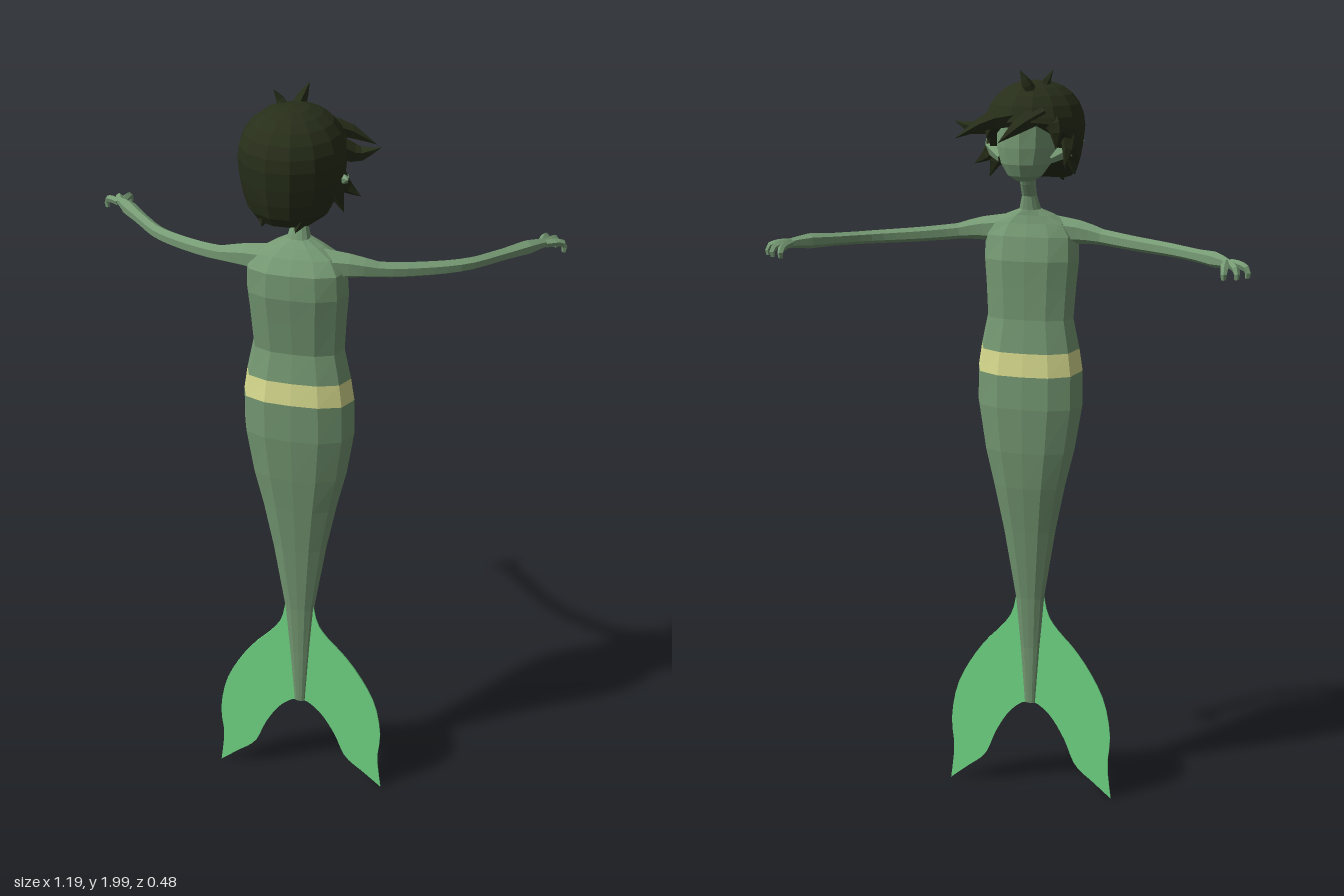
import * as THREE from 'three';

const V = (x, y, z) => new THREE.Vector3(x, y, z);
const skin = new THREE.MeshStandardMaterial({ color: 0x769a74 });
skin.name = 'skinGreen';
const beltMat = new THREE.MeshStandardMaterial({ color: 0xd8dc8e });
beltMat.name = 'beltYellow';
const finMat = new THREE.MeshStandardMaterial({ color: 0x76e28c });
finMat.name = 'finGreen';
const hairMat = new THREE.MeshStandardMaterial({ color: 0x272e19, side: THREE.DoubleSide });
hairMat.name = 'hairDark';

// Faceted mesh: every face gets its own normal
function faceted(name, geo, mat) {
  const g = geo.index ? geo.toNonIndexed() : geo;
  g.computeVertexNormals();
  const m = new THREE.Mesh(g, mat);
  m.name = name;
  return m;
}

// Skin over rings of points, lowest ring first, closed at both ends
function loft(rings) {
  const n = rings[0].length, pos = [], idx = [];
  rings.forEach(r => r.forEach(p => pos.push(p.x, p.y, p.z)));
  for (let i = 0; i < rings.length - 1; i++) {
    for (let j = 0; j < n; j++) {
      const k = (j + 1) % n, a = i * n + j, b = i * n + k;
      idx.push(a, b, b + n, a, b + n, a + n);
    }
  }
  const top = (rings.length - 1) * n;
  for (let j = 1; j < n - 1; j++) idx.push(0, j + 1, j, top, top + j, top + j + 1);
  const g = new THREE.BufferGeometry();
  g.setAttribute('position', new THREE.Float32BufferAttribute(pos, 3));
  g.setIndex(idx);
  return g;
}

// Twelve-sided body section: broad back and belly, narrow sides
const half = [[0, 1], [0.48, 0.95], [0.86, 0.66], [1, 0], [0.86, -0.66], [0.48, -0.95], [0, -1]];
const section = [...half, ...half.slice(1, -1).reverse().map(([x, z]) => [-x, z])];
// Row: height, half width, front z, back z, tilt
const bodyRing = ([y, w, zf, zb, tilt = 0]) => section.map(([x, z]) =>
  V(x * w, y + z * tilt, (zf + zb) / 2 + z * (zb - zf) / 2));

// Tapering tube through points, with radii spread evenly along it
function limb(name, pts, radii, mat, segs = 10, sides = 6) {
  const path = new THREE.CatmullRomCurve3(pts);
  const g = new THREE.TubeGeometry(path, segs, 1, sides);
  const p = g.attributes.position, v = V();
  for (let i = 0; i <= segs; i++) {
    const c = path.getPointAt(i / segs);
    const f = i / segs * (radii.length - 1), k = Math.min(Math.floor(f), radii.length - 2);
    const r = THREE.MathUtils.lerp(radii[k], radii[k + 1], f - k);
    for (let j = 0; j <= sides; j++) {
      const q = i * (sides + 1) + j;
      v.fromBufferAttribute(p, q).sub(c).multiplyScalar(r).add(c);
      p.setXYZ(q, v.x, v.y, v.z);
    }
  }
  return faceted(name, g, mat);
}

export function createModel() {
  const model = new THREE.Group();
  model.name = 'seaPerson';

  // Tail, belt and torso share their joining rings
  const beltLow = [1.243, 0.14, 0.01, 0.176, 0.008];
  const beltHigh = [1.301, 0.131, 0.018, 0.168, 0.006];
  const tail = [
    [0.28, 0.015, 0.087, 0.106], [0.45, 0.027, 0.08, 0.112], [0.6, 0.04, 0.067, 0.12],
    [0.8, 0.072, 0.04, 0.138], [0.93, 0.098, 0.02, 0.152], [1.03, 0.122, 0.01, 0.164],
    [1.15, 0.141, 0.005, 0.175], beltLow];
  const torso = [
    beltHigh, [1.38, 0.114, 0.03, 0.156], [1.46, 0.119, 0.03, 0.167], [1.53, 0.125, 0.029, 0.177],
    [1.59, 0.122, 0.042, 0.174], [1.622, 0.1, 0.056, 0.15], [1.642, 0.062, 0.062, 0.13],
    [1.656, 0.028, 0.064, 0.112], [1.69, 0.019, 0.062, 0.098], [1.72, 0.019, 0.046, 0.088],
    [1.77, 0.022, 0.025, 0.075]];
  model.add(faceted('tail', loft(tail.map(bodyRing)), skin));
  model.add(faceted('belt', loft([beltLow, beltHigh].map(bodyRing)), beltMat));
  model.add(faceted('torso', loft(torso.map(bodyRing)), skin));

  // Head, narrowing to the chin
  const head = [
    [1.732, 0.022, 0.016, 0.06], [1.746, 0.044, -0.004, 0.08], [1.775, 0.064, -0.016, 0.11],
    [1.815, 0.077, -0.02, 0.14], [1.87, 0.08, -0.018, 0.16], [1.92, 0.066, 0.01, 0.15]];
  model.add(faceted('head', loft(head.map(([y, w, f, b]) =>
    Array.from({ length: 12 }, (_, i) => {
      const a = i / 12 * Math.PI * 2;
      return V(w * Math.sin(a), y, (f + b) / 2 + Math.cos(a) * (b - f) / 2);
    }))), skin));

  // Arms, fingers and pointed ears, mirrored
  for (const s of [1, -1]) {
    const side = s > 0 ? 'left' : 'right';
    const P = (x, y, z) => V(s * x, y, z);
    model.add(limb(side + 'Ear', [P(0.06, 1.785, 0.04), P(0.098, 1.806, 0.085), P(0.128, 1.825, 0.14)],
      [0.012, 0.02, 0.0], skin, 4, 5));
    model.add(limb(side + 'Arm', [
      P(0.06, 1.6, 0.105), P(0.13, 1.6, 0.098), P(0.19, 1.592, 0.085), P(0.28, 1.586, 0.045),
      P(0.38, 1.584, -0.012), P(0.45, 1.586, -0.08), P(0.525, 1.588, -0.16), P(0.55, 1.586, -0.188)],
      [0.04, 0.03, 0.02, 0.019, 0.018, 0.017, 0.016, 0.016, 0.019, 0.01], skin, 18));
    const tips = [[0.59, -0.202], [0.568, -0.228], [0.541, -0.24]];
    tips.forEach(([x, z], i) => {
      const bx = 0.546 - i * 0.004, bz = -0.173 - i * 0.004;
      model.add(limb(side + 'Finger' + (i + 1), [
        P(bx, 1.588, bz), P(bx + (x - bx) * 0.7, 1.586, bz + (z - bz) * 0.7),
        P(x, 1.578, z), P(x, 1.56, z)], [0.01, 0.01, 0.009, 0.006], skin, 6, 5));
    });
  }

  // Tail fin: one thin plate with two smooth lobes
  const edge = pts => new THREE.SplineCurve(pts.map(([x, y]) => new THREE.Vector2(x, y))).getPoints(20);
  const lobe = [
    ...edge([[0.036, 0.62], [0.05, 0.55], [0.08, 0.503], [0.127, 0.452], [0.175, 0.382], [0.213, 0.3],
      [0.23, 0.2], [0.224, 0.11], [0.235, 0.01]]),
    ...edge([[0.235, 0.01], [0.185, 0.053], [0.132, 0.1], [0.1, 0.175], [0.063, 0.238], [0.026, 0.273],
      [0, 0.28]]).slice(1)];
  const mirrored = lobe.slice(0, -1).reverse().map(p => new THREE.Vector2(-p.x, p.y));
  const fin = new THREE.Mesh(new THREE.ExtrudeGeometry(new THREE.Shape([...lobe, ...mirrored]),
    { depth: 0.004, bevelEnabled: false }), finMat);
  fin.name = 'tailFin';
  fin.position.z = 0.095;
  model.add(fin);

  // Hair cap: a full, straight-sided bob whose hem rises from the nape to the fringe
  const cap = new THREE.SphereGeometry(1, 14, 12);
  const cp = cap.attributes.position;
  for (let i = 0; i < cp.count; i++) {
    const dx = cp.getX(i), dy = cp.getY(i), dz = cp.getZ(i);
    const out = Math.hypot(dx, dz);
    const fill = out > 0.01 ? Math.pow(out, dy < 0 ? -0.65 : -0.12) : 1;
    const z = 0.1 + dz * fill * (dz > 0 ? 0.138 : 0.145);
    const hem = 1.88 - 0.155 * THREE.MathUtils.smoothstep(z, -0.04, 0.18);
    const y = 1.86 + dy * (dy > 0 ? 0.112 : 0.16);
    cp.setXYZ(i, -0.01 + dx * fill * (dy < 0 ? 0.126 + dy * 0.012 : 0.126), Math.max(y, hem), z);
  }
  model.add(faceted('hairCap', cap, hairMat));

  // Locks of hair: root, bend, tip, root radius
  const locks = [
    [[0.0, 1.89, 0.0], [0.07, 1.88, -0.04], [0.15, 1.84, -0.062], 0.028],
    [[-0.05, 1.9, 0.0], [-0.01, 1.875, -0.04], [0.04, 1.832, -0.068], 0.026],
    [[-0.06, 1.89, 0.02], [-0.085, 1.87, 0.0], [-0.09, 1.815, -0.01], 0.026],
    [[0.08, 1.88, 0.08], [0.13, 1.855, 0.05], [0.183, 1.873, 0.045], 0.028],
    [[0.09, 1.83, 0.1], [0.11, 1.79, 0.085], [0.145, 1.765, 0.08], 0.025],
    [[0.08, 1.83, 0.11], [0.095, 1.77, 0.1], [0.11, 1.73, 0.1], 0.028],
    [[-0.1, 1.88, 0.06], [-0.108, 1.82, 0.045], [-0.1, 1.765, 0.035], 0.025],
    [[-0.09, 1.83, 0.12], [-0.1, 1.79, 0.11], [-0.11, 1.74, 0.11], 0.028],
    [[-0.05, 1.78, 0.18], [-0.055, 1.74, 0.185], [-0.06, 1.715, 0.195], 0.03],
    [[0.03, 1.78, 0.18], [0.03, 1.74, 0.185], [0.02, 1.71, 0.2], 0.03],
    [[-0.03, 1.94, 0.08], [-0.045, 1.97, 0.07], [-0.06, 1.998, 0.08], 0.016],
    [[-0.02, 1.94, 0.03], [-0.01, 1.965, 0.02], [0.006, 2.0, 0.01], 0.018]];
  locks.forEach(([a, b, c, r], i) => model.add(limb('hairLock' + (i + 1),
    [V(...a), V(...b), V(...c)], [r, r * 0.75, 0], hairMat, 5, 5)));

  return model;
}
